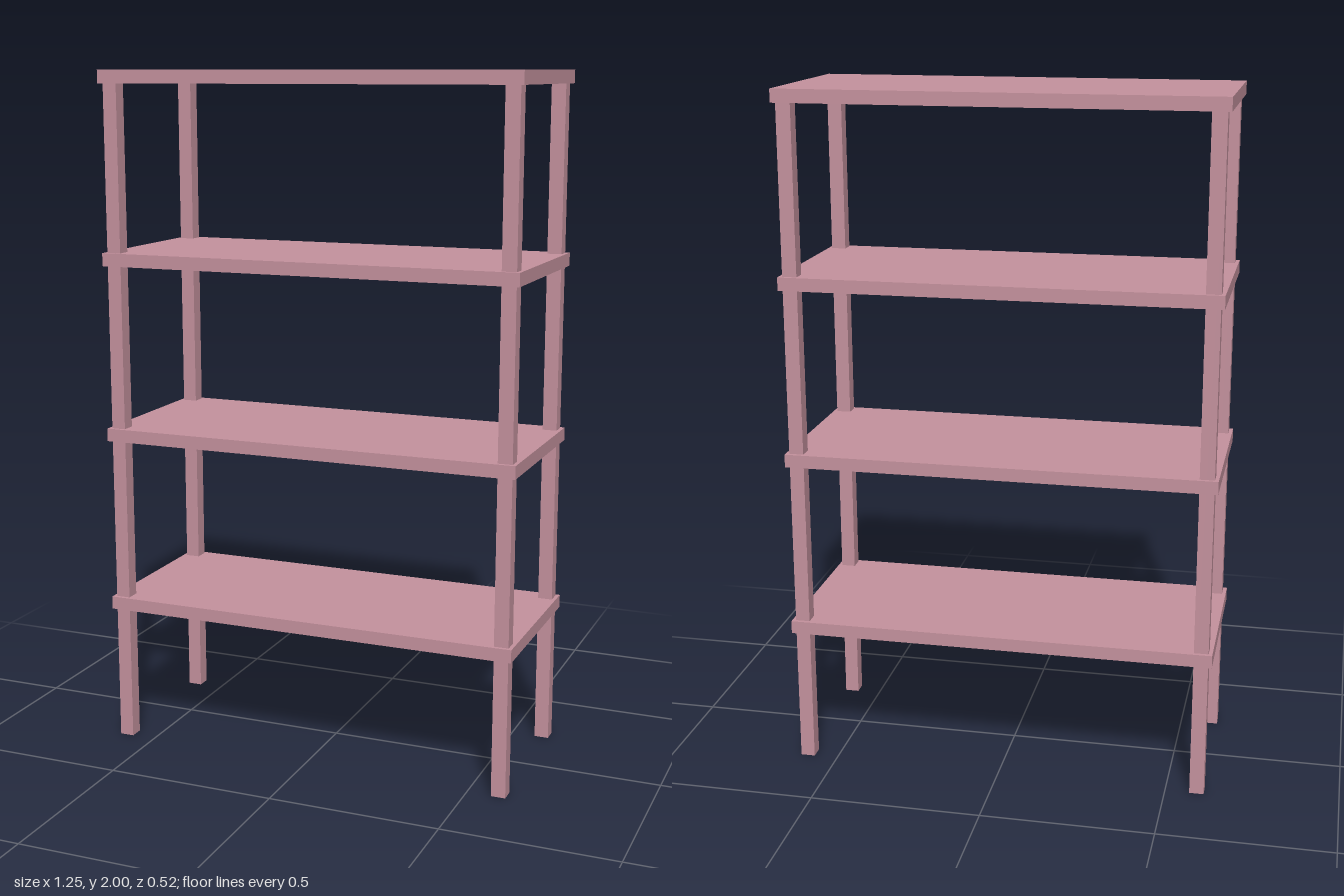
import * as THREE from 'three';

const WIDTH = 1.248, DEPTH = 0.524, HEIGHT = 2;
const BOARD = 0.038; // shelf thickness
const POST = 0.042; // post side length
const INSET = 0.011; // gap from shelf edge to post
const SHELVES = 4, SPACING = 0.519;

export function createModel() {
  const group = new THREE.Group();
  group.name = 'shelfUnit';
  const material = new THREE.MeshStandardMaterial({ color: 0xc4919d });

  const addBox = (name, w, h, d, x, y, z) => {
    const mesh = new THREE.Mesh(new THREE.BoxGeometry(w, h, d), material);
    mesh.name = name;
    mesh.position.set(x, y, z);
    group.add(mesh);
  };

  // Shelves, evenly spaced down from the top
  for (let i = 0; i < SHELVES; i++) {
    const top = HEIGHT - (SHELVES - 1 - i) * SPACING;
    addBox(`shelf${i + 1}`, WIDTH, BOARD, DEPTH, 0, top - BOARD / 2, 0);
  }

  // Corner posts, from the floor to the underside of the top shelf
  const postHeight = HEIGHT - BOARD;
  const px = WIDTH / 2 - INSET - POST / 2;
  const pz = DEPTH / 2 - INSET - POST / 2;
  for (const [xName, sx] of [['Left', 1], ['Right', -1]]) {
    for (const [zName, sz] of [['front', 1], ['back', -1]]) {
      addBox(`${zName}${xName}Post`, POST, postHeight, POST, sx * px, postHeight / 2, sz * pz);
    }
  }
  return group;
}
